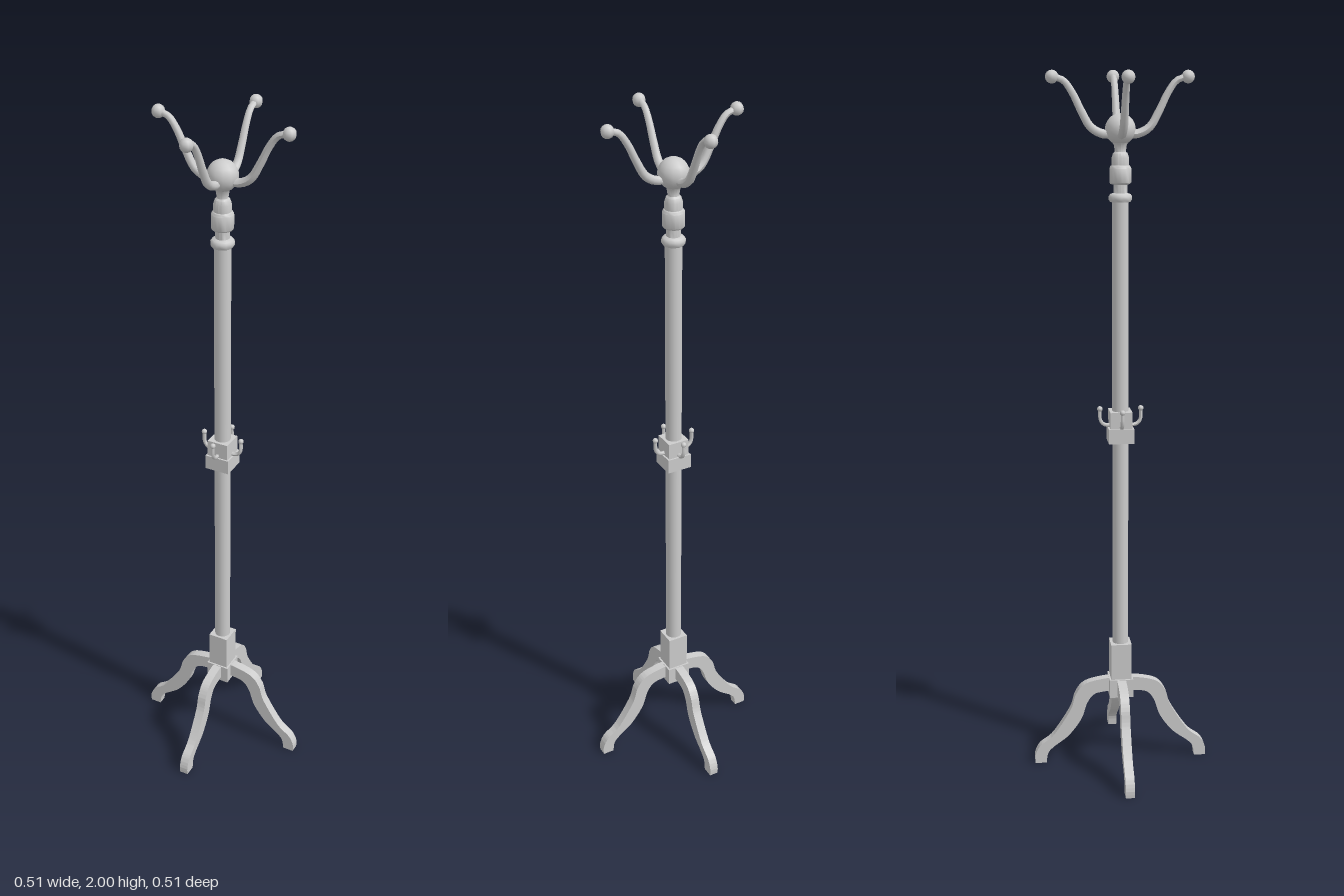
import * as THREE from 'three';
import { toCreasedNormals } from 'three/addons/utils/BufferGeometryUtils.js';

const material = new THREE.MeshStandardMaterial({ color: 0xcccccc });

function add(parent, name, geometry, x = 0, y = 0, z = 0) {
  const mesh = new THREE.Mesh(geometry, material);
  mesh.name = name;
  mesh.position.set(x, y, z);
  parent.add(mesh);
  return mesh;
}

// Tube along points in the xy plane, its radius going from r0 to r1
function taperedTube(points, r0, r1, segments, sides) {
  const curve = new THREE.CatmullRomCurve3(points.map(([x, y]) => new THREE.Vector3(x, y, 0)));
  const geometry = new THREE.TubeGeometry(curve, segments, 1, sides);
  const pos = geometry.attributes.position;
  const v = new THREE.Vector3();
  for (let i = 0; i <= segments; i++) {
    const t = i / segments;
    const centre = curve.getPointAt(t);
    for (let j = 0; j <= sides; j++) {
      const k = i * (sides + 1) + j;
      v.fromBufferAttribute(pos, k).sub(centre).multiplyScalar(r0 + (r1 - r0) * t).add(centre);
      pos.setXYZ(k, v.x, v.y, v.z);
    }
  }
  geometry.computeVertexNormals();
  return geometry;
}

// Curved leg cut from a flat board
function legGeometry() {
  const vectors = (list) => list.map(([x, y]) => new THREE.Vector2(x, y));
  const shape = new THREE.Shape();
  shape.moveTo(0.01, 0.262);
  shape.splineThru(vectors([[0.05, 0.261], [0.105, 0.247], [0.133, 0.215], [0.15, 0.165],
    [0.2, 0.088], [0.24, 0.055], [0.255, 0.025], [0.255, 0]]));
  shape.lineTo(0.222, 0);
  shape.splineThru(vectors([[0.217, 0.03], [0.2, 0.05], [0.155, 0.085], [0.118, 0.135],
    [0.1, 0.185], [0.08, 0.212], [0.05, 0.22], [0.01, 0.222]]));
  shape.closePath();
  const geometry = new THREE.ExtrudeGeometry(shape, { depth: 0.026, bevelEnabled: false, curveSegments: 20 });
  geometry.translate(0, 0, -0.013);
  return toCreasedNormals(geometry, 0.6);
}

export function createModel() {
  const group = new THREE.Group();

  // Pole and turned neck
  add(group, 'pole', new THREE.CylinderGeometry(0.023, 0.023, 1.38, 16), 0, 0.98, 0);
  const profile = [[0, 1.652], [0.028, 1.652], [0.032, 1.658], [0.032, 1.667], [0.028, 1.673],
    [0.019, 1.676], [0.019, 1.698], [0.027, 1.7], [0.03, 1.704], [0.03, 1.742], [0.027, 1.748],
    [0.024, 1.75], [0.024, 1.77], [0.02, 1.782], [0.015, 1.786], [0.018, 1.805], [0.026, 1.815], [0, 1.815]];
  const neck = new THREE.LatheGeometry(profile.map(([x, y]) => new THREE.Vector2(x, y)), 16);
  add(group, 'neck', toCreasedNormals(neck, 0.7));
  add(group, 'topBall', new THREE.SphereGeometry(0.042, 12, 10), 0, 1.845, 0);

  // Square blocks on the pole
  add(group, 'baseBlock', new THREE.BoxGeometry(0.06, 0.11, 0.06), 0, 0.317, 0);
  add(group, 'legBlock', new THREE.BoxGeometry(0.07, 0.055, 0.07), 0, 0.236, 0);
  add(group, 'hookBlock', new THREE.BoxGeometry(0.072, 0.042, 0.072), 0, 1.001, 0);
  add(group, 'hookBlockTop', new THREE.BoxGeometry(0.062, 0.048, 0.062), 0, 1.045, 0);

  // Four sides: leg, small hook and upper arm
  const leg = legGeometry();
  const arm = taperedTube([[0.02, 1.832], [0.05, 1.834], [0.08, 1.851], [0.105, 1.893],
    [0.13, 1.943], [0.153, 1.973], [0.18, 1.982]], 0.0125, 0.0085, 18, 8);
  const hook = taperedTube([[0.025, 1.028], [0.044, 1.029], [0.056, 1.041], [0.058, 1.073]], 0.006, 0.005, 10, 6);
  const armKnob = new THREE.SphereGeometry(0.018, 8, 8);
  const hookKnob = new THREE.SphereGeometry(0.008, 8, 6);
  for (let i = 0; i < 4; i++) {
    const side = new THREE.Group();
    side.name = 'side' + (i + 1);
    side.rotation.y = i * Math.PI / 2;
    add(side, 'leg', leg);
    add(side, 'arm', arm);
    add(side, 'armKnob', armKnob, 0.183, 1.982, 0);
    add(side, 'smallHook', hook);
    add(side, 'smallHookKnob', hookKnob, 0.058, 1.075, 0);
    group.add(side);
  }
  return group;
}
